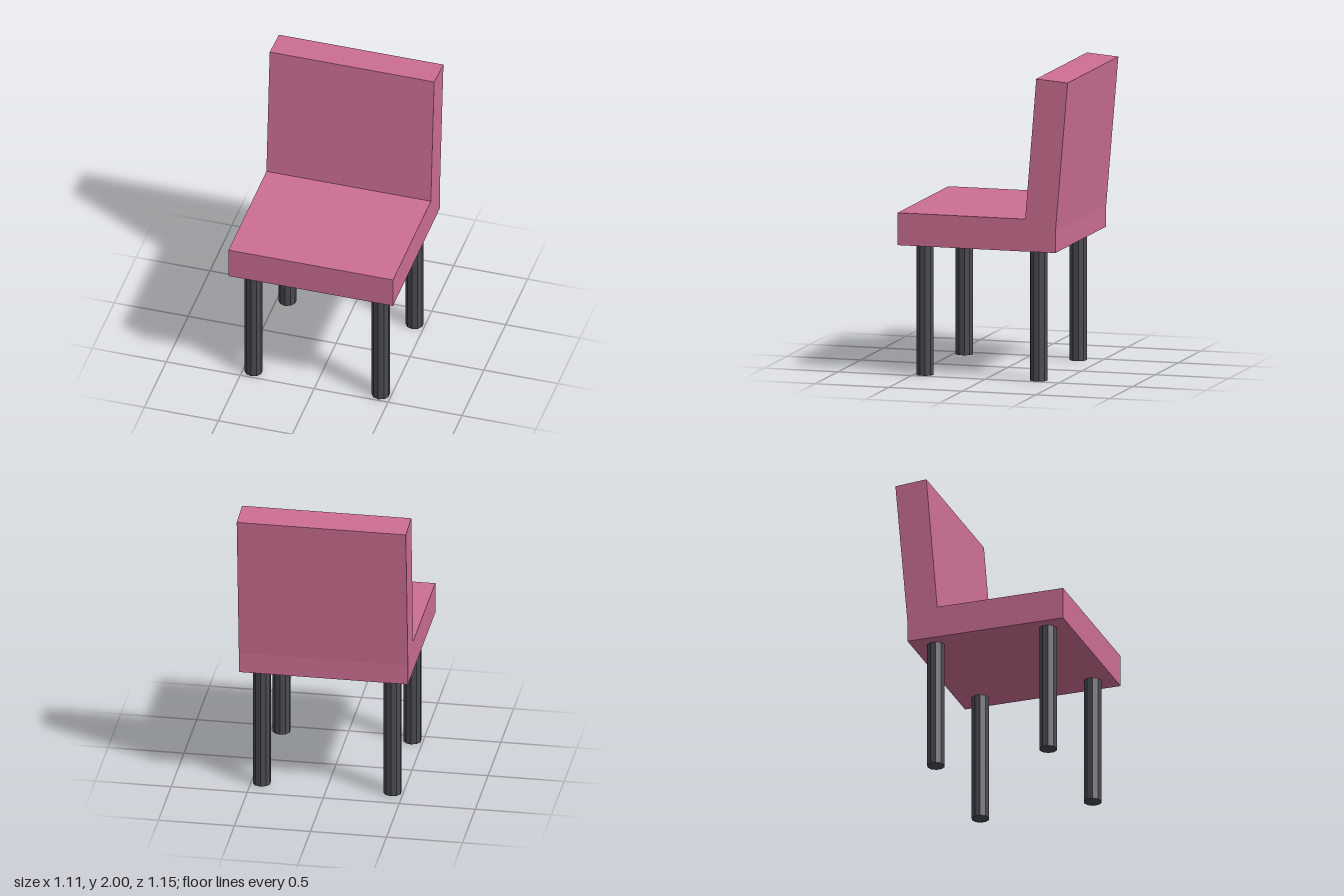
import * as THREE from 'three';

const HALF_WIDTH = 0.556;

// Side outline given as [z, y] pairs, extruded across the full width
function slab(name, outline, material) {
  const shape = new THREE.Shape(outline.map(([z, y]) => new THREE.Vector2(z, y)));
  const geometry = new THREE.ExtrudeGeometry(shape, { depth: HALF_WIDTH * 2, bevelEnabled: false });
  geometry.translate(0, 0, -HALF_WIDTH);
  geometry.rotateY(-Math.PI / 2);
  const mesh = new THREE.Mesh(geometry, material);
  mesh.name = name;
  return mesh;
}

export function createModel() {
  const model = new THREE.Group();
  model.name = 'chair';

  const upholstery = new THREE.MeshStandardMaterial({ color: 0xcc6e92 });
  upholstery.name = 'pink upholstery';
  const legMaterial = new THREE.MeshStandardMaterial({ color: 0x4a4a50, flatShading: true });
  legMaterial.name = 'dark grey legs';

  // Thick seat, meeting the backrest along a sloped joint
  model.add(slab('seat', [
    [0.577, 0.862], [0.577, 1.075], [-0.289, 1.075], [-0.494, 1.0], [-0.494, 0.862],
  ], upholstery));

  // Backrest leaning slightly backwards
  model.add(slab('backrest', [
    [-0.289, 1.075], [-0.364, 2.0], [-0.577, 1.983], [-0.494, 1.0],
  ], upholstery));

  // Four ten-sided legs
  const height = 0.862;
  const legGeometry = new THREE.CylinderGeometry(0.059, 0.059, height, 10);
  for (const [end, z] of [['front', 0.43], ['back', -0.343]]) {
    for (const [side, x] of [['Left', 0.43], ['Right', -0.43]]) {
      const leg = new THREE.Mesh(legGeometry, legMaterial);
      leg.name = `${end}${side}Leg`;
      leg.position.set(x, height / 2, z);
      model.add(leg);
    }
  }

  return model;
}
